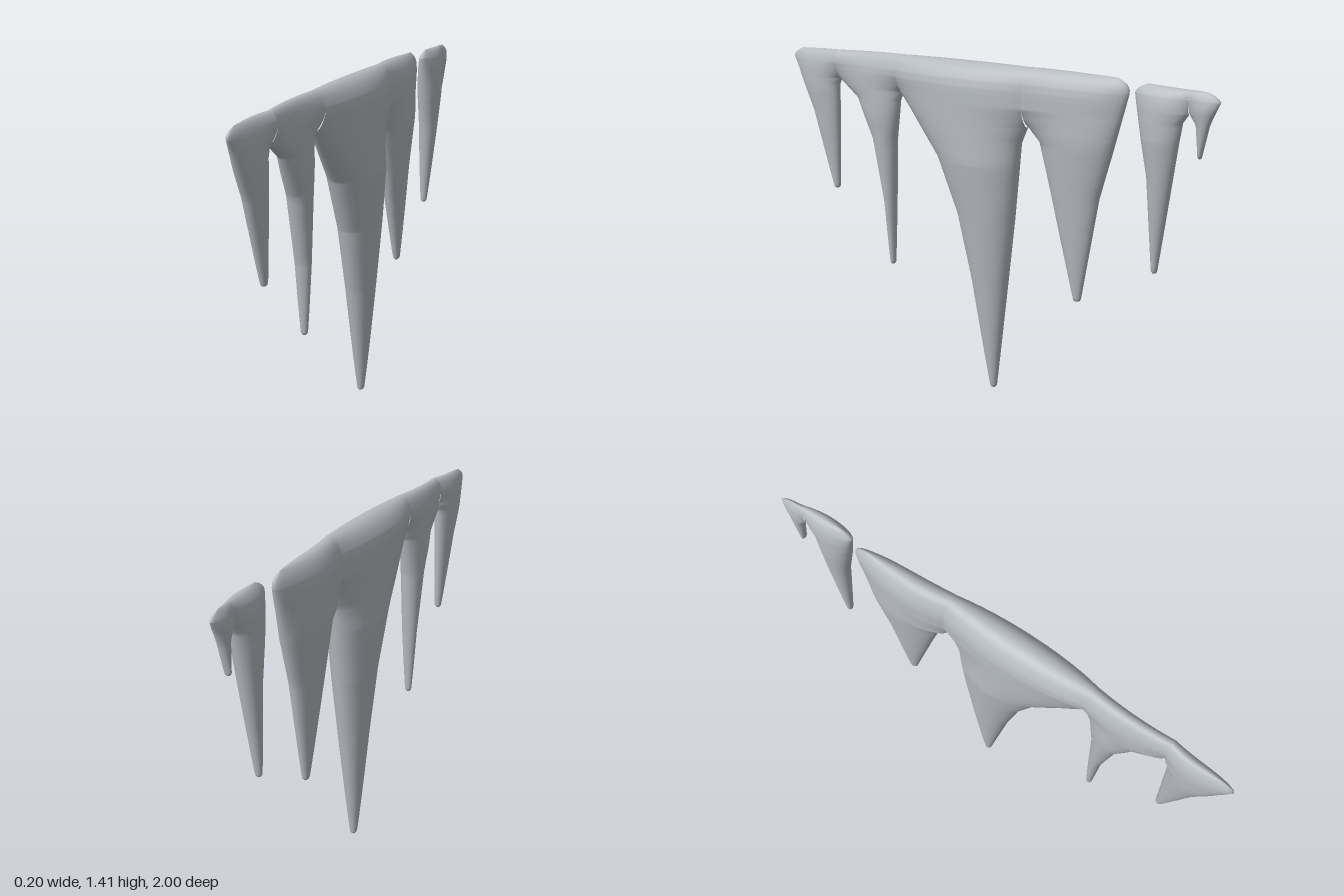
import * as THREE from 'three';
import { mergeVertices } from 'three/addons/utils/BufferGeometryUtils.js';

const { clamp, lerp } = THREE.MathUtils;
const SHOULDER = 1.3, CORNER = 1.36, TOP = 1.4, CAP = 0.015, COLS = 16;

// Front and back edges as [y, z] from the tip up; an edge with a wall thickness
// ends at the valley where the icicle fuses with its neighbour.
const frontSpike = {
  half: 0.045, lean: -0.015,
  front: { wall: 0, line: [[0.785, 0.8], [1.12, 0.895], [1.36, 1]] },
  back: { wall: 0.038, line: [[0.785, 0.768], [1.24, 0.752], [1.275, 0.735]] },
};
const thinSpike = {
  half: 0.055, lean: -0.01,
  front: { wall: 0.038, line: [[0.48, 0.492], [0.76, 0.51], [1.035, 0.56], [1.205, 0.64], [1.275, 0.735]] },
  back: { wall: 0.05, line: [[0.48, 0.467], [1.035, 0.446], [1.205, 0.42], [1.25, 0.4]] },
};
const greatSpike = {
  half: 0.102, lean: 0,
  front: { wall: 0.05, line: [[0.015, -0.033], [0.49, 0.05], [0.775, 0.115], [1.01, 0.21], [1.25, 0.4]] },
  back: { wall: 0.055, line: [[0.015, -0.064], [0.775, -0.148], [1.1, -0.18], [1.17, -0.21]] },
};
const broadSpike = {
  half: 0.07, lean: -0.018,
  front: { wall: 0.055, line: [[0.495, -0.425], [0.92, -0.315], [1.12, -0.26], [1.17, -0.21]] },
  back: { wall: 0, line: [[0.495, -0.46], [0.92, -0.525], [1.345, -0.637]] },
};
const rearSpike = {
  half: 0.052, lean: 0.004,
  front: { wall: 0, line: [[0.68, -0.759], [1.05, -0.73], [1.36, -0.67]] },
  back: { wall: 0.03, line: [[0.68, -0.784], [1.185, -0.85], [1.265, -0.862], [1.3, -0.885]] },
};
const stubSpike = {
  half: 0.028, lean: -0.005,
  front: { wall: 0.03, line: [[1.152, -0.92], [1.265, -0.909], [1.3, -0.885]] },
  back: { wall: 0, line: [[1.152, -0.937], [1.265, -0.961], [1.365, -1]] },
};

// z of an edge at height y; free edges curl inward at the top corner
function edgeAt({ wall, line }, y, inward) {
  let i = 1;
  while (i < line.length - 1 && y > line[i][0]) i++;
  const [y0, z0] = line[i - 1], [y1, z1] = line[i];
  const z = lerp(z0, z1, clamp((y - y0) / (y1 - y0), 0, 1));
  return wall || y < CORNER ? z : z + inward * 0.05 * ((y - CORNER) / (TOP - CORNER)) ** 2;
}

// How far a fused edge has opened above its valley, 0 to 1
function opening({ wall, line }, y) {
  return wall ? Math.sqrt(clamp((y - line.at(-1)[0]) / 0.08, 0, 1)) : 0;
}

// Slice of an icicle at height y
function sliceAt({ half, lean, front, back }, y) {
  const tip = front.line[0][0] - CAP;
  const t = (y - tip) / (0.72 * (TOP - tip));
  const cap = Math.sqrt(1 - (1 - clamp((y - tip) / CAP, 0, 1)) ** 2);
  const dome = Math.sqrt(1 - clamp((y - SHOULDER) / (TOP - SHOULDER), 0, 1) ** 2);
  const zf = edgeAt(front, y, -1), zb = edgeAt(back, y, 1), mid = (zf + zb) / 2;
  const width = t < 1 ? 0.013 + (half - 0.013) * t ** 0.85 : half * (1 - 0.56 * (t - 1));
  return {
    dome,
    zf: cap < 1 ? lerp(mid, zf, cap) : zf,
    zb: cap < 1 ? lerp(mid, zb, cap) : zb,
    width: width * cap,
    centre: lerp(-0.014, lean, Math.min(t, 1)),
    openFront: opening(front, y),
    openBack: opening(back, y),
  };
}

// Stacks of elliptical slices that fuse with their neighbours above each valley
function icicleGeometry(icicles) {
  const heights = new Set([1.32, 1.34, 1.36, 1.375, 1.385, 1.393, 1.398, TOP]);
  for (let i = 1; i <= 26; i++) heights.add(i * 0.05);
  for (const { front, back } of icicles) {
    const start = front.line[0][0];
    [CAP, 0.012, 0.007].forEach((d) => heights.add(start - d));
    for (const { wall, line } of [front, back]) {
      line.forEach(([y]) => heights.add(y));
      if (wall) [0.005, 0.02, 0.04].forEach((d) => heights.add(line.at(-1)[0] + d));
    }
  }
  const sorted = [...heights].sort((a, b) => a - b);
  const positions = [], index = [];

  for (const icicle of icicles) {
    const { front, back } = icicle;
    const ys = sorted.filter((y) => y >= front.line[0][0] - CAP);
    for (const side of [1, -1]) {
      const base = positions.length / 3;
      ys.forEach((y, j) => {
        const { dome, zf, zb, width, centre, openFront, openBack } = sliceAt(icicle, y);
        const ef = (front.wall * openFront) ** 2, eb = (back.wall * openBack) ** 2;
        const body = Math.max(0, width * width - (ef + eb) / 2);
        for (let i = 0; i <= COLS; i++) {
          const c = Math.cos(Math.PI * i / COLS), f = (1 + c) / 2, b = 1 - f;
          const z = zf * f + zb * b;
          const h = dome * Math.sqrt(body * (1 - c * c) + ef * f + eb * b);
          const x = centre * (1 - c * c * (c > 0 ? openFront : openBack)) + side * h;
          // the crest sags gently toward both ends
          const crest = 1.412 - 0.027 * z * z;
          const rise = Math.max(0, y - SHOULDER) / (TOP - SHOULDER);
          positions.push(x, y + rise * (crest - TOP), z);
          if (i < COLS && j < ys.length - 1) {
            const p = base + j * (COLS + 1) + i, q = p + 1, s = p + COLS + 1, r = s + 1;
            if (side > 0) index.push(p, q, r, p, r, s);
            else index.push(p, r, q, p, s, r);
          }
        }
      });
    }
  }
  const raw = new THREE.BufferGeometry();
  raw.setAttribute('position', new THREE.Float32BufferAttribute(positions, 3));
  raw.setIndex(index);
  const geometry = mergeVertices(raw, 1e-4);
  geometry.computeVertexNormals();
  return geometry;
}

export function createModel() {
  const group = new THREE.Group();
  group.name = 'icicles';
  const ice = new THREE.MeshStandardMaterial({ color: 0xb4b9bf });
  ice.name = 'pale grey ice';

  const longRow = new THREE.Mesh(icicleGeometry([frontSpike, thinSpike, greatSpike, broadSpike]), ice);
  longRow.name = 'longIcicleRow';
  const shortRow = new THREE.Mesh(icicleGeometry([rearSpike, stubSpike]), ice);
  shortRow.name = 'shortIcicleRow';
  group.add(longRow, shortRow);
  return group;
}
